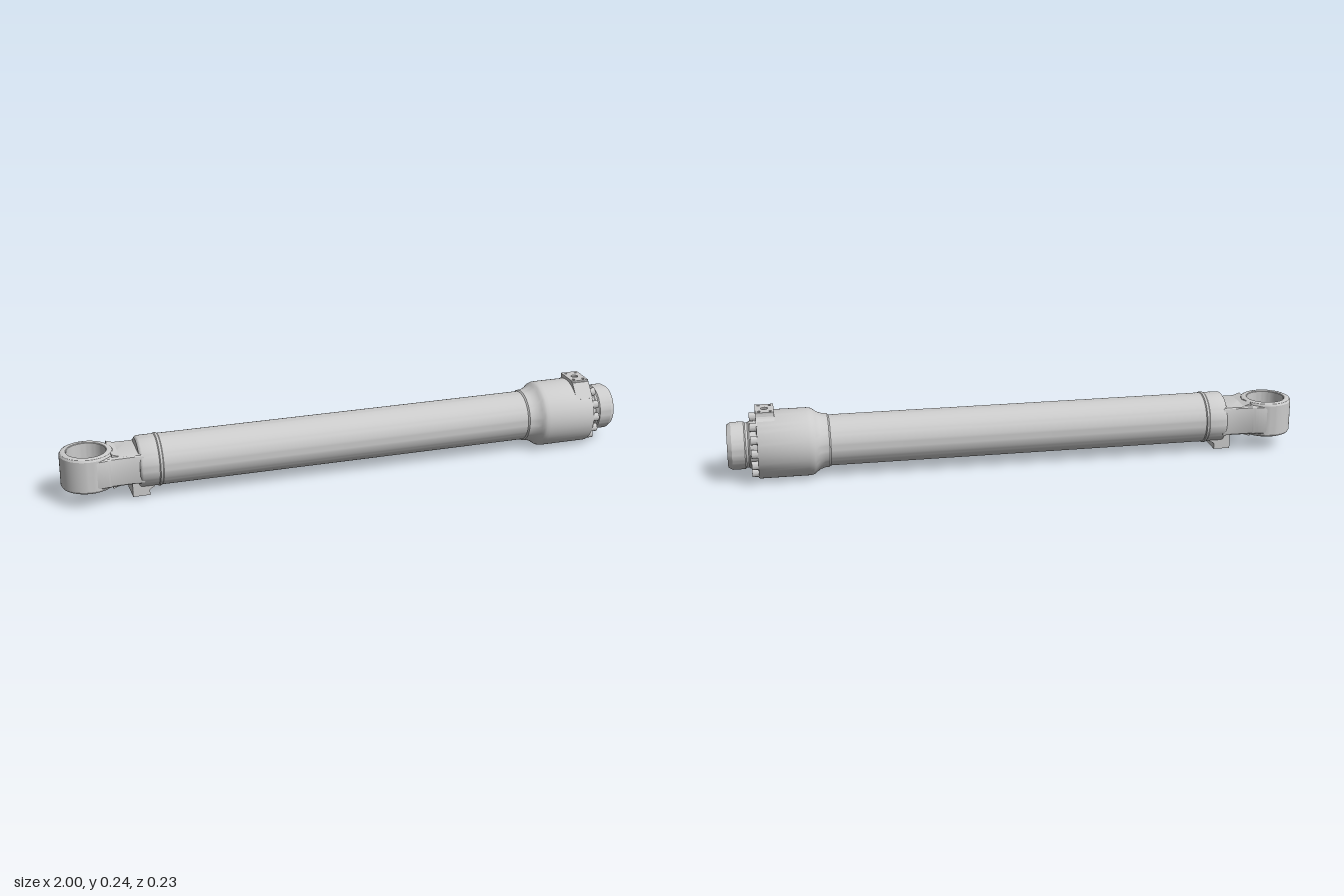
import * as THREE from 'three';
import { toCreasedNormals } from 'three/addons/utils/BufferGeometryUtils.js';

const AXIS = 0.118; // height of the cylinder axis
const material = new THREE.MeshStandardMaterial({ color: 0xcccccc });

export function createModel() {
  const group = new THREE.Group();

  const add = (name, geometry, x = 0, y = 0, z = 0) => {
    const mesh = new THREE.Mesh(toCreasedNormals(geometry, 0.5), material);
    mesh.name = name;
    mesh.position.set(x, y, z);
    group.add(mesh);
    return mesh;
  };
  const lathe = (pairs, segments = 64) =>
    new THREE.LatheGeometry(pairs.map(([r, h]) => new THREE.Vector2(r, h)), segments);
  // profile of [radius, x] turned about the long axis
  const turned = (name, pairs) => add(name, lathe(pairs).rotateZ(-Math.PI / 2), 0, AXIS, 0);
  const circle = (x, y, r) => new THREE.Path().absarc(x, y, r, 0, Math.PI * 2, true);
  const extrude = (shape, depth, bevel = 0) => new THREE.ExtrudeGeometry(shape, {
    depth: depth - 2 * bevel, bevelEnabled: bevel > 0, bevelSize: bevel,
    bevelThickness: bevel, bevelOffset: -bevel, bevelSegments: 3, curveSegments: 20,
  }).translate(0, 0, bevel);

  // Barrel with hollow bore and closed rear end
  turned('barrel', [
    [0, -0.745], [0.08, -0.745], [0.086, -0.74], [0.088, -0.735], [0.088, -0.68],
    [0.0905, -0.677], [0.0905, -0.669], [0.0875, -0.666], [0.0875, 0.67],
    [0.074, 0.67], [0.074, -0.69], [0, -0.69],
  ]);

  // Head: flared collar of the barrel
  turned('head', [
    [0.0875, 0.655], [0.092, 0.66], [0.093, 0.675], [0.098, 0.69], [0.106, 0.703],
    [0.112, 0.709], [0.1155, 0.718], [0.1165, 0.73], [0.1165, 0.896], [0.1145, 0.9],
    [0.07, 0.9], [0.07, 0.67],
  ]);

  // Gland: nose with seal steps inside
  turned('gland', [
    [0.081, 0.895], [0.081, 0.925], [0.077, 0.93], [0.077, 0.938], [0.081, 0.942],
    [0.081, 0.985], [0.075, 0.995], [0.072, 1], [0.06, 1], [0.056, 0.994],
    [0.056, 0.975], [0.062, 0.973], [0.062, 0.96], [0.053, 0.958], [0.053, 0.94],
    [0.057, 0.938], [0.057, 0.925], [0.053, 0.923], [0.053, 0.75], [0.074, 0.75],
  ]);

  // Oil passage boss on the floor of the bore
  add('passageBoss', new THREE.CylinderGeometry(0.012, 0.012, 0.03, 24)
    .rotateZ(Math.PI / 2), -0.68, 0.073, 0);

  // Gland bolts with hexagonal sockets, five on each side
  const boltShape = new THREE.Shape().absarc(0, 0, 0.0145, 0, Math.PI * 2, false);
  const hex = [];
  for (let i = 0; i < 6; i++) {
    hex.push(new THREE.Vector2(0.0085 * Math.cos(i * Math.PI / 3), 0.0085 * Math.sin(i * Math.PI / 3)));
  }
  boltShape.holes.push(new THREE.Path(hex));
  const boltGeometry = extrude(boltShape, 0.022).rotateY(Math.PI / 2);
  const floorGeometry = new THREE.CylinderGeometry(0.012, 0.012, 0.01, 16).rotateZ(Math.PI / 2);
  for (const side of [-1, 1]) {
    for (const degrees of [-55, -26.5, 0, 26.5, 55]) {
      const a = THREE.MathUtils.degToRad(degrees);
      const y = AXIS + 0.099 * Math.sin(a), z = side * 0.099 * Math.cos(a);
      add('glandBolt', boltGeometry, 0.9, y, z);
      add('boltSocketFloor', floorGeometry, 0.905, y, z);
    }
  }

  // Upper port block, sloped on one side and filleted on the other
  const block = new THREE.Shape();
  block.moveTo(-0.092, 0.19);
  block.lineTo(-0.051, 0.239);
  block.lineTo(0.0455, 0.239);
  block.lineTo(0.0455, 0.234);
  block.quadraticCurveTo(0.046, 0.226, 0.054, 0.222);
  block.lineTo(0.075, 0.207);
  block.lineTo(0.06, 0.17);
  block.lineTo(-0.06, 0.17);
  add('upperPortBlock', extrude(block, 0.063).rotateY(Math.PI / 2), 0.838, 0, 0);

  // Flat pad with a central port and four threaded holes
  const pad = (width, length) => {
    const s = new THREE.Shape();
    s.moveTo(-width / 2, -length / 2);
    s.lineTo(width / 2, -length / 2);
    s.lineTo(width / 2, length / 2);
    s.lineTo(-width / 2, length / 2);
    s.holes.push(circle(0, 0, 0.012));
    for (const i of [-1, 1]) for (const j of [-1, 1]) {
      s.holes.push(circle(i * width * 0.3, j * length * 0.34, 0.005));
    }
    return s;
  };
  add('upperPortPad', extrude(pad(0.063, 0.094), 0.006).rotateX(-Math.PI / 2), 0.8695, 0.239, 0);

  // Lower port block under the rear end
  const lower = new THREE.Shape();
  lower.moveTo(-0.768, 0.075);
  lower.lineTo(-0.768, 0.015);
  lower.lineTo(-0.71, 0.015);
  lower.lineTo(-0.71, 0.027);
  lower.quadraticCurveTo(-0.708, 0.033, -0.695, 0.037);
  lower.lineTo(-0.695, 0.075);
  add('lowerPortBlock', extrude(lower, 0.09), 0, 0, -0.045);
  add('lowerPortPad', extrude(pad(0.058, 0.09), 0.006).rotateX(Math.PI / 2), -0.739, 0.015, 0);

  // Rear eye with vertical bore and bushing
  add('rearEye', lathe([
    [0.07, -0.063], [0.08, -0.063], [0.086, -0.06], [0.09, -0.053], [0.09, 0.053],
    [0.086, 0.06], [0.08, 0.063], [0.07, 0.063],
  ]), -0.91, AXIS, 0);
  add('eyeBushing', lathe([
    [0.066, -0.06], [0.068, -0.062], [0.072, -0.062], [0.072, 0.062], [0.068, 0.062],
    [0.066, 0.06], [0.066, -0.06],
  ]), -0.91, AXIS, 0);

  // Shank joining the eye to the barrel, hollowed around the eye bore
  const shank = new THREE.Shape();
  shank.moveTo(-0.91, -0.088);
  shank.quadraticCurveTo(-0.865, -0.088, -0.835, -0.077);
  shank.lineTo(-0.76, -0.075);
  shank.lineTo(-0.73, -0.078);
  shank.lineTo(-0.73, 0.078);
  shank.lineTo(-0.76, 0.075);
  shank.lineTo(-0.835, 0.077);
  shank.quadraticCurveTo(-0.865, 0.088, -0.91, 0.088);
  shank.lineTo(-0.91, 0.075);
  shank.absarc(-0.91, 0, 0.075, Math.PI / 2, -Math.PI / 2, true);
  add('shank', extrude(shank, 0.104, 0.01).rotateX(-Math.PI / 2), 0, AXIS - 0.052, 0);

  // Raised shoulder blending the eye height down to the shank
  const shoulder = new THREE.Shape();
  shoulder.moveTo(-0.835, -0.061);
  shoulder.lineTo(-0.805, -0.051);
  shoulder.lineTo(-0.805, 0.051);
  shoulder.lineTo(-0.835, 0.061);
  add('shoulder', extrude(shoulder, 0.13), 0, AXIS, -0.065);

  return group;
}
